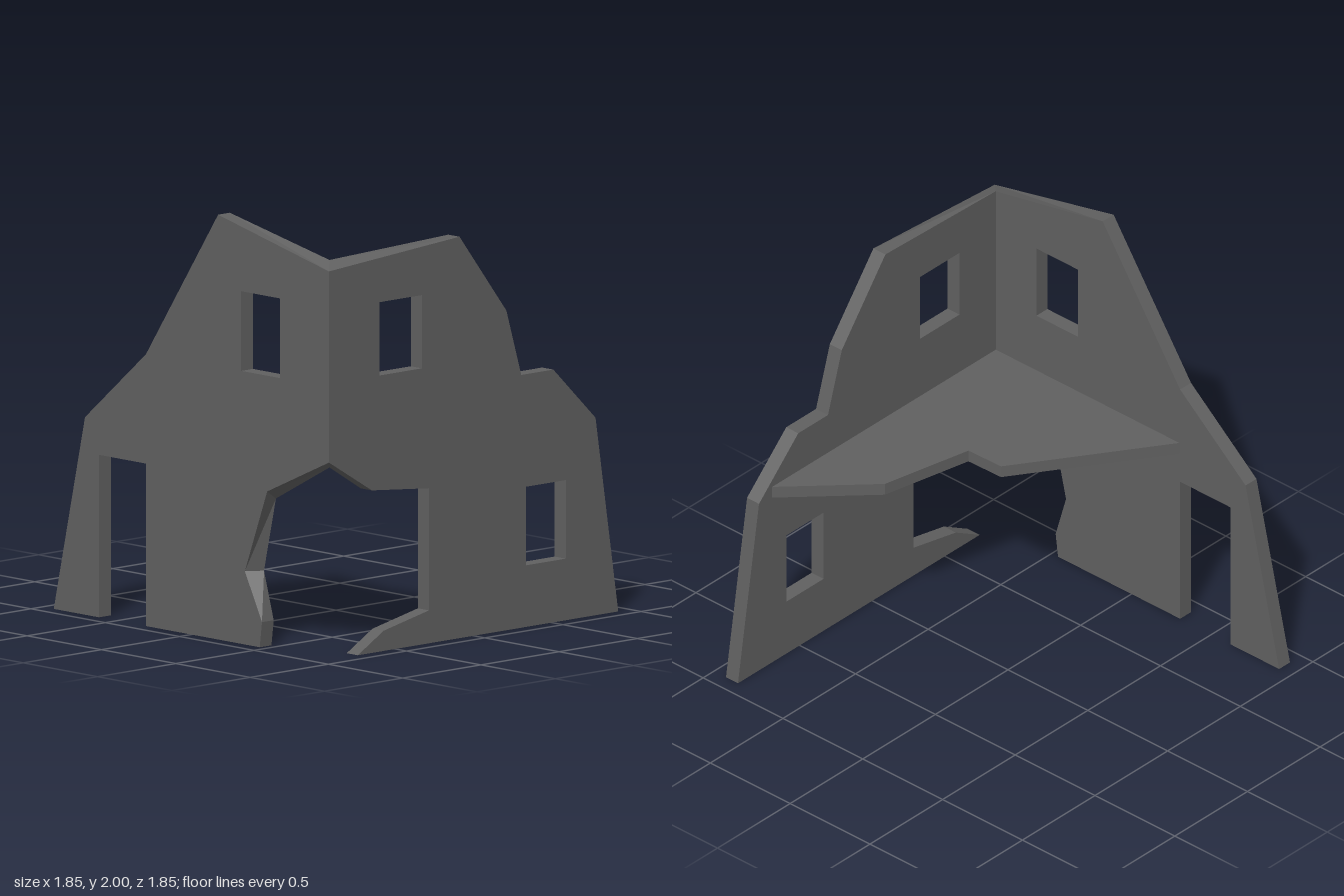
import * as THREE from 'three';

const INNER = 0.85, OUTER = 0.925, THICK = OUTER - INNER;

const rect = (u0, u1, y0, y1) => [[u0, y0], [u0, y1], [u1, y1], [u1, y0]];
const toPoints = (list) => list.map(([u, y]) => new THREE.Vector2(u, y));

// Wall slab: outline entries are [u, y] on the outer face, with an optional
// different [innerU, innerY] on the inner face (mitred corner, ragged breaks).
function wallGeometry(outline, openings) {
  const shape = new THREE.Shape(toPoints(outline));
  for (const o of openings) shape.holes.push(new THREE.Path(toPoints(o)));
  const geo = new THREE.ExtrudeGeometry(shape, { depth: THICK, bevelEnabled: false });
  const pos = geo.attributes.position;
  for (let i = 0; i < pos.count; i++) {
    if (pos.getZ(i) > THICK / 2) continue;
    const hit = outline.find(([u, y]) =>
      Math.hypot(u - pos.getX(i), y - pos.getY(i)) < 1e-4);
    if (hit && hit.length === 4) pos.setXY(i, hit[2], hit[3]);
  }
  geo.computeVertexNormals();
  geo.translate(0, 0, INNER);
  return geo;
}

export function createModel() {
  const group = new THREE.Group();
  const stone = new THREE.MeshStandardMaterial({ color: 0x606060 });
  stone.name = 'dark grey stone';

  const add = (name, geo) => {
    const mesh = new THREE.Mesh(geo, stone);
    mesh.name = name;
    group.add(mesh);
  };

  // Front wall with doorway, window and broken lower corner (u = x)
  add('frontWall', wallGeometry([
    [-0.925, 0], [-0.62, 0], [-0.62, 0.765], [-0.305, 0.765], [-0.305, 0],
    [0.46, 0], [0.475, 0.12], [0.36, 0.345, 0.41, 0.345], [0.51, 0.74, 0.49, 0.695],
    [OUTER, 0.93, INNER, 0.888], [OUTER, 1.83, INNER, 1.865],
    [0.18, 2], [-0.305, 1.28], [-0.715, 0.93],
  ], [rect(0.335, 0.595, 1.285, 1.66)]));

  // Side wall with two windows and broken lower corner (u = -z)
  const side = wallGeometry([
    [-0.74, 0], [OUTER, 0], [0.78, 0.93], [0.51, 1.19], [0.305, 1.19],
    [0.21, 1.505], [-0.09, 1.89],
    [-OUTER, 1.83, -INNER, 1.865], [-OUTER, 0.93, -INNER, 0.888],
    [-0.65, 0.765], [-0.285, 0.73], [-0.285, 0.155], [-0.575, 0.095],
  ], [rect(-0.6, -0.33, 1.3, 1.645), rect(0.335, 0.59, 0.29, 0.66)]);
  side.rotateY(Math.PI / 2);
  add('sideWall', side);

  // Broken upper floor in the corner (shape y = -z)
  const floorShape = new THREE.Shape(toPoints([
    [-0.3, -INNER], [INNER, -INNER], [INNER, 0.69],
    [0.48, 0.32], [0.38, -0.145], [0.18, -0.15],
  ]));
  const floor = new THREE.ExtrudeGeometry(floorShape, { depth: 0.06, bevelEnabled: false });
  floor.rotateX(-Math.PI / 2);
  floor.translate(0, 0.92, 0);
  add('upperFloor', floor);

  return group;
}
